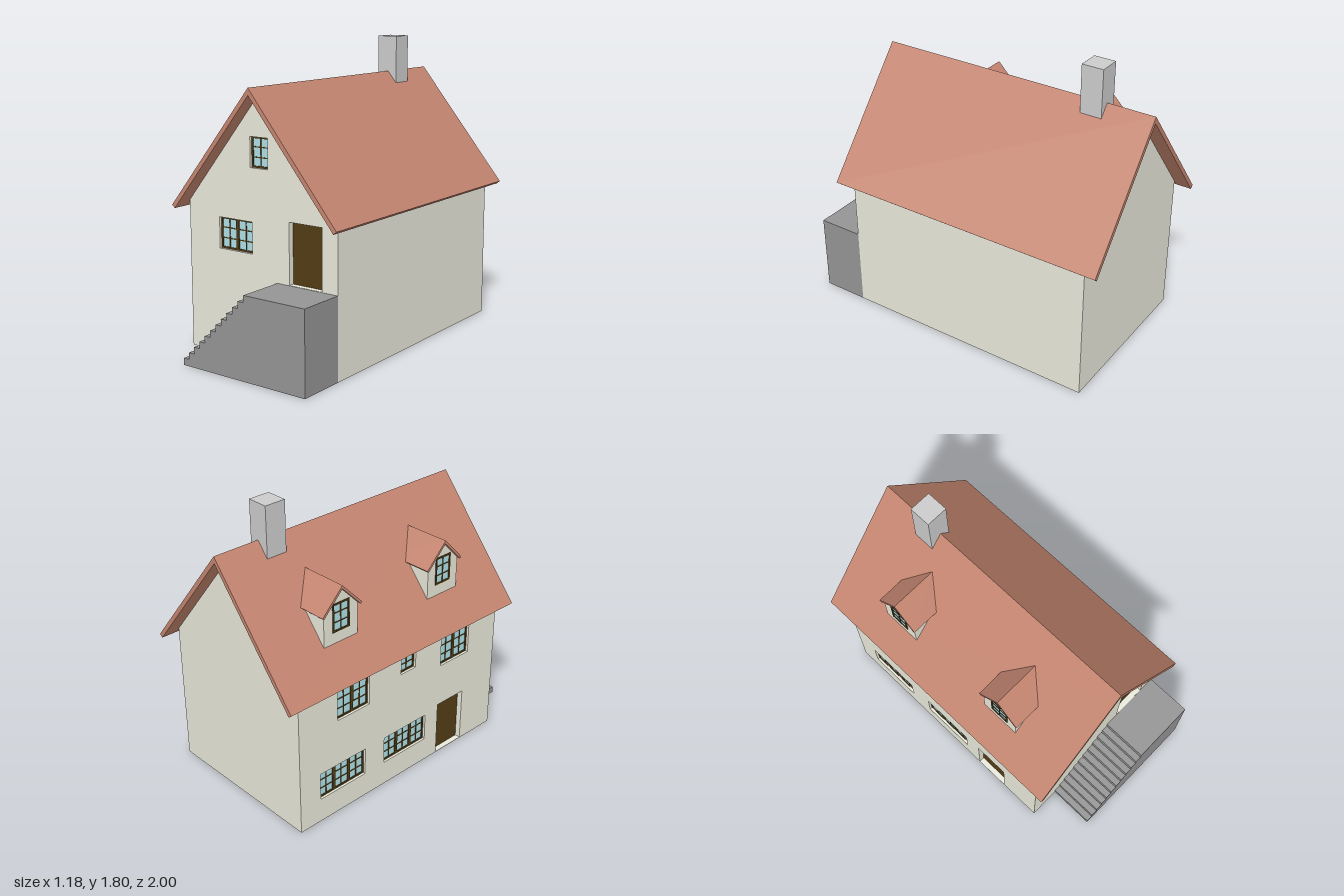
import * as THREE from 'three';

const mat = (color) => new THREE.MeshStandardMaterial({ color, flatShading: true });

export function createModel() {
  const house = new THREE.Group();
  house.name = 'house';
  const plaster = mat(0xe8e8da), tile = mat(0xc48570), wood = mat(0x523c14);
  const glass = mat(0xaee0e6), stone = mat(0x949494), grey = mat(0xcccccc);

  const add = (parent, name, geometry, material, x = 0, y = 0, z = 0) => {
    const mesh = new THREE.Mesh(geometry, material);
    mesh.name = name;
    mesh.position.set(x, y, z);
    parent.add(mesh);
    return mesh;
  };
  const box = (parent, name, material, w, h, d, x, y, z) =>
    add(parent, name, new THREE.BoxGeometry(w, h, d), material, x, y, z);
  const shapeOf = (pts) => new THREE.Shape(pts.map(([x, y]) => new THREE.Vector2(x, y)));
  const extrude = (shape, depth) => new THREE.ExtrudeGeometry(shape, { depth, bevelEnabled: false });

  // Window of side-by-side casements, its front at z
  function addWindow(parent, { x0, x1, y0, y1, casements = 1, rows = 3 }, z) {
    const win = new THREE.Group();
    win.name = 'window';
    parent.add(win);
    const w = x1 - x0, h = y1 - y0, cy = (y0 + y1) / 2, cw = w / casements;
    box(win, 'glass', glass, w, h, 0.02, (x0 + x1) / 2, cy, z - 0.016);
    for (let c = 0; c < casements; c++) {
      const left = x0 + c * cw, cx = left + cw / 2, f = 0.01;
      for (const s of [-1, 1]) {
        box(win, 'stile', wood, f, h, 0.02, cx + s * (cw - f) / 2, cy, z - 0.01);
        box(win, 'rail', wood, cw - 2 * f, f, 0.02, cx, cy + s * (h - f) / 2, z - 0.01);
      }
      box(win, 'mullion', wood, 0.006, h - 2 * f, 0.014, cx, cy, z - 0.009);
      for (let r = 1; r < rows; r++)
        box(win, 'glazingBar', wood, cw - 2 * f, 0.006, 0.012, cx, y0 + h * r / rows, z - 0.009);
    }
  }

  // Wall with real openings; its outer face is the local plane z = 0
  function facade(name, outline, depth, openings = [], windowZ = -0.015) {
    const wall = new THREE.Group();
    wall.name = name;
    house.add(wall);
    const shape = shapeOf(outline);
    for (const { x0, x1, y0, y1 } of openings)
      shape.holes.push(shapeOf([[x0, y0], [x0, y1], [x1, y1], [x1, y0]]));
    add(wall, 'wall', extrude(shape, depth), plaster, 0, 0, -depth);
    for (const o of openings) {
      if (o.door) box(wall, 'door', wood, o.x1 - o.x0, o.y1 - o.y0, 0.02,
        (o.x0 + o.x1) / 2, (o.y0 + o.y1) / 2, -0.045);
      else addWindow(wall, o, windowZ);
    }
    return wall;
  }

  // Two-slope roof slab with eaves cut square to the slope, along local z
  function roof(name, half, eave, ridge, t, length) {
    const len = Math.hypot(half, ridge - eave);
    const nx = (ridge - eave) / len * t, ny = half / len * t;
    const shape = shapeOf([[half, eave], [0, ridge], [-half, eave],
      [-half + nx, eave - ny], [0, ridge - t * len / half], [half - nx, eave - ny]]);
    return add(house, name, extrude(shape, length), tile);
  }

  // House walls
  const W = 0.535, front = 0.71, back = -0.905, T = 0.055;
  const gable = [[-W, 0], [W, 0], [W, 0.888], [0, 1.537], [-W, 0.888]];
  facade('frontWall', gable, T, [
    { x0: -0.305, x1: -0.06, y0: 0.63, y1: 0.815, casements: 2 },
    { x0: -0.068, x1: 0.058, y0: 1.125, y1: 1.3 },
    { x0: 0.205, x1: 0.43, y0: 0.492, y1: 0.85, door: true },
  ]).position.z = front;
  const rear = facade('backWall', gable, T);
  rear.rotation.y = Math.PI;
  rear.position.z = back;

  const z0 = back + T, z1 = front - T;
  const left = facade('leftWall', [[-z1, 0], [-z0, 0], [-z0, 0.888], [-z1, 0.888]], T);
  left.rotation.y = Math.PI / 2;
  left.position.x = W;
  const right = facade('rightWall', [[z0, 0], [z1, 0], [z1, 0.888], [z0, 0.888]], T, [
    { x0: -0.755, x1: -0.405, y0: 0.155, y1: 0.33, casements: 3 },
    { x0: -0.25, x1: 0.1, y0: 0.155, y1: 0.33, casements: 3 },
    { x0: 0.21, x1: 0.435, y0: 0.003, y1: 0.355, door: true },
    { x0: -0.62, x1: -0.375, y0: 0.63, y1: 0.815, casements: 2 },
    { x0: -0.12, x1: 0, y0: 0.715, y1: 0.815, rows: 2 },
    { x0: 0.22, x1: 0.465, y0: 0.63, y1: 0.815, casements: 2 },
  ]);
  right.rotation.y = -Math.PI / 2;
  right.position.x = -W;
  box(house, 'floor', plaster, 2 * (W - T), 0.02, z1 - z0, 0, 0.01, (z0 + z1) / 2);

  // Main roof and chimney
  roof('mainRoof', 0.592, 0.865, 1.58, 0.027, 1.8).position.z = -1;
  box(house, 'chimney', grey, 0.135, 0.35, 0.135, -0.007, 1.625, -0.635);

  // Dormers, running back into the main roof
  for (const z of [-0.5, 0.315]) {
    const dormer = facade('dormer',
      [[-0.125, 1.03], [0.125, 1.03], [0.125, 1.249], [0, 1.378], [-0.125, 1.249]], 0.285,
      [{ x0: -0.062, x1: 0.062, y0: 1.125, y1: 1.3 }], 0.005);
    dormer.rotation.y = -Math.PI / 2;
    dormer.position.set(-0.435, 0, z);
    const cover = roof('dormerRoof', 0.146, 1.25, 1.4, 0.015, 0.3);
    cover.rotation.y = Math.PI / 2;
    cover.position.set(-0.45, 0, z);
  }

  // Front stairs with landing
  const steps = 12, rise = 0.49 / steps, tread = 0.0412;
  const profile = [[W, 0], [W, 0.49]];
  for (let i = steps - 1; i >= 0; i--) {
    const x = -0.335 + i * tread;
    profile.push([x, (i + 1) * rise], [x, i * rise]);
  }
  add(house, 'frontStairs', extrude(shapeOf(profile), 0.29), stone, 0, 0, front);

  return house;
}
